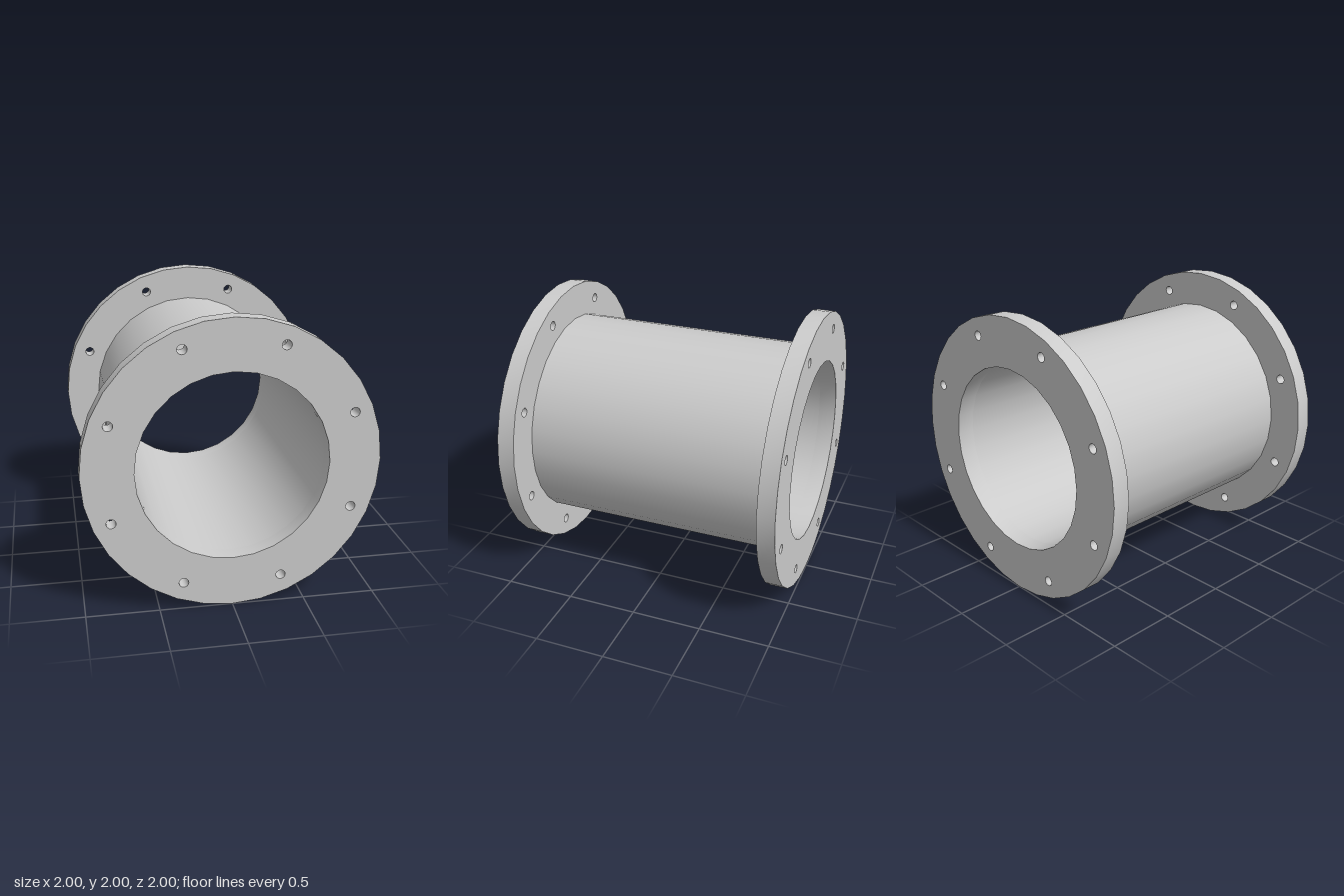
import * as THREE from 'three';
import { toCreasedNormals } from 'three/addons/utils/BufferGeometryUtils.js';

const FLANGE_R = 1, BARREL_R = 0.75, BORE_R = 0.65;
const BOLT_CIRCLE_R = 0.875, BOLT_HOLE_R = 0.033, BOLT_COUNT = 8;
const FLANGE_T = 0.125, HALF = 1;
const FLANGE_SIDES = 32, BORE_SIDES = 28, HOLE_SIDES = 16;

const material = (side = THREE.FrontSide) => new THREE.MeshStandardMaterial({ color: 0xcccccc, side });

// Points of a regular polygon standing in for a circle
function ring(radius, sides, cx = 0, cy = 0) {
  return Array.from({ length: sides }, (_, i) => {
    const a = (i / sides) * Math.PI * 2;
    return new THREE.Vector2(cx + radius * Math.cos(a), cy + radius * Math.sin(a));
  });
}

// Flat annular plate with the bore and a circle of bolt holes
function flangeGeometry() {
  const shape = new THREE.Shape(ring(FLANGE_R, FLANGE_SIDES));
  shape.holes.push(new THREE.Path(ring(BORE_R, BORE_SIDES)));
  for (let i = 0; i < BOLT_COUNT; i++) {
    const a = ((i + 0.5) / BOLT_COUNT) * Math.PI * 2;
    const x = BOLT_CIRCLE_R * Math.cos(a), y = BOLT_CIRCLE_R * Math.sin(a);
    shape.holes.push(new THREE.Path(ring(BOLT_HOLE_R, HOLE_SIDES, x, y)));
  }
  const geometry = new THREE.ExtrudeGeometry(shape, { depth: FLANGE_T, bevelEnabled: false });
  return toCreasedNormals(geometry, 0.6);
}

// Open cylinder wall along z between the two flanges
function wall(name, radius, side) {
  const length = 2 * (HALF - FLANGE_T);
  const geometry = new THREE.CylinderGeometry(radius, radius, length, BORE_SIDES, 1, true);
  geometry.rotateX(Math.PI / 2);
  const mesh = new THREE.Mesh(geometry, material(side));
  mesh.name = name;
  return mesh;
}

export function createModel() {
  const model = new THREE.Group();
  model.name = 'flangedPipe';

  // Pipe: outer barrel and inner bore
  const pipe = new THREE.Group();
  pipe.name = 'pipe';
  pipe.add(wall('barrel', BARREL_R, THREE.FrontSide), wall('bore', BORE_R, THREE.BackSide));
  model.add(pipe);

  // Flanges at both ends
  const geometry = flangeGeometry();
  for (const [name, z] of [['frontFlange', HALF - FLANGE_T], ['backFlange', -HALF]]) {
    const flange = new THREE.Mesh(geometry, material());
    flange.name = name;
    flange.position.z = z;
    model.add(flange);
  }

  model.position.y = FLANGE_R;
  return model;
}
